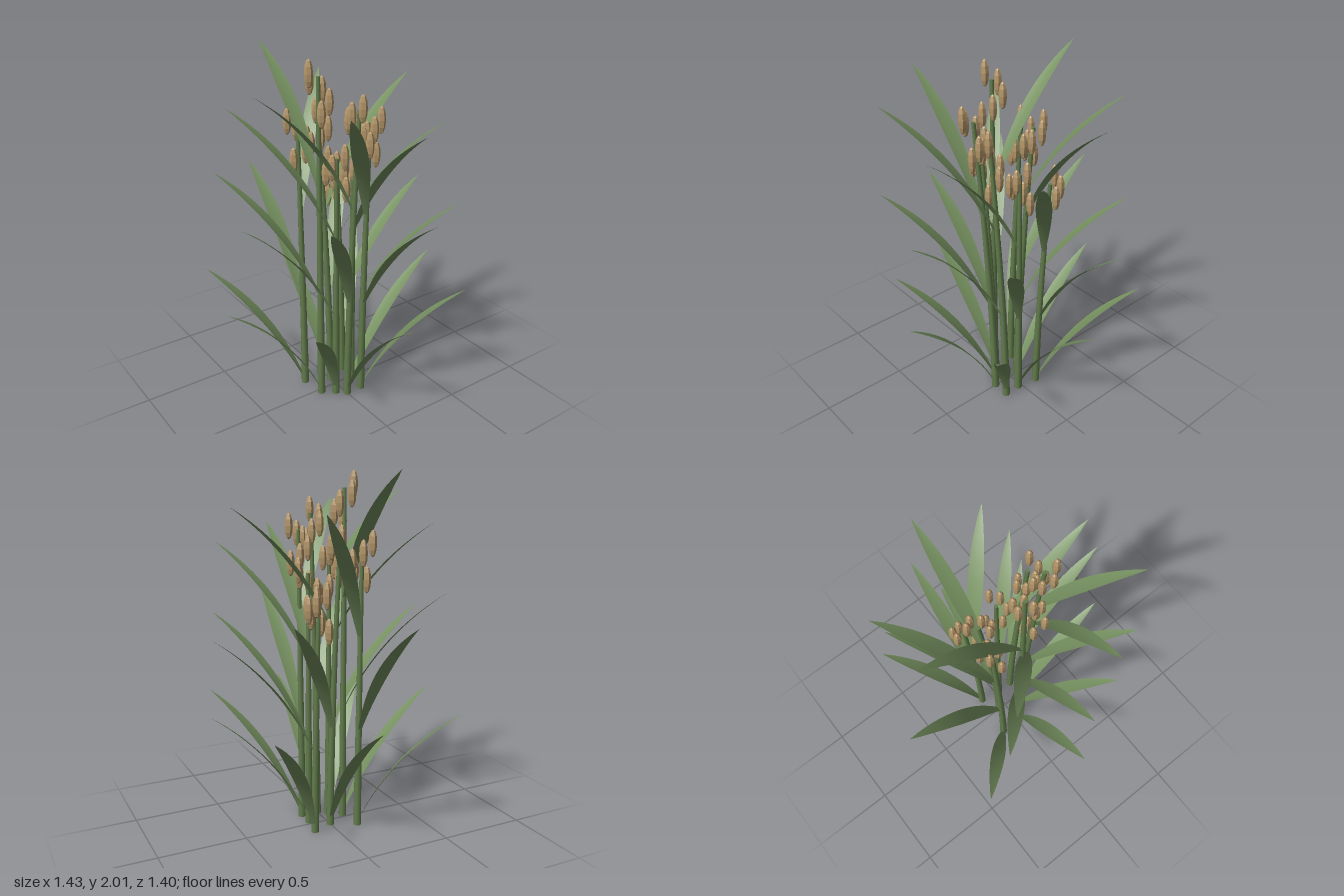
import * as THREE from 'three';

const mat = (name, color, side = THREE.FrontSide) => {
  const m = new THREE.MeshStandardMaterial({ color, side });
  m.name = name;
  return m;
};

// Sideways lean of a stalk at a level from 0 (ground) to 1 (tip)
const lean = (level) => level ** 1.5;

// Arching blade: grows along +x, lightly folded along its midrib, pointed at the tip
function bladeGeometry(reach, rise, halfWidth) {
  const curve = new THREE.QuadraticBezierCurve(
    new THREE.Vector2(0, 0),
    new THREE.Vector2(reach * 0.35, rise * 0.65),
    new THREE.Vector2(reach, rise));
  const geo = new THREE.PlaneGeometry(1, 1, 2, 14);
  const pos = geo.attributes.position;
  for (let i = 0; i < pos.count; i++) {
    const t = pos.getY(i) + 0.5;
    const p = curve.getPoint(t);
    const w = Math.max(0, Math.sin(Math.PI * (0.05 + 0.95 * t ** 1.15))) ** 0.85;
    const across = pos.getX(i) * 2;
    const fold = 0.005 * w * (1 - Math.abs(across));
    pos.setXYZ(i, p.x + fold * 0.7, p.y - fold * 0.7, across * halfWidth * w);
  }
  geo.computeVertexNormals();
  return geo;
}

// Tapered stem standing on the origin, bending sideways toward its tip
function stemGeometry(height, dx, dz) {
  const geo = new THREE.CylinderGeometry(0.011, 0.023, height, 8, 8);
  geo.translate(0, height / 2, 0);
  const pos = geo.attributes.position;
  for (let i = 0; i < pos.count; i++) {
    const bend = lean(Math.max(0, pos.getY(i) / height));
    pos.setX(i, pos.getX(i) + dx * bend);
    pos.setZ(i, pos.getZ(i) + dz * bend);
  }
  return geo;
}

export function createModel() {
  const model = new THREE.Group();
  model.name = 'grassClump';

  const leafMat = mat('leaf green', 0x75905f, THREE.DoubleSide);
  const stemMat = mat('stem green', 0x627c4c);
  const seedMat = mat('seed tan', 0xb5976a);
  seedMat.flatShading = true;

  const blade = bladeGeometry(0.58, 0.712, 0.042);
  const seed = new THREE.SphereGeometry(1, 6, 6).scale(0.023, 0.074, 0.023);

  // base x, base z, top x, top z, height, bearing of lowest leaf, seeds, angle of first seed
  const stalks = [
    [0.122, 0.0, 0.228, 0.015, 1.79, 0, 6, 20],
    [0.075, 0.05, 0.125, 0.08, 1.52, 45, 5, 348],
    [0.025, 0.12, 0.02, 0.12, 1.93, 90, 5, 90],
    [-0.122, 0.14, -0.18, 0.12, 1.63, 135, 5, 130],
    [-0.05, 0.0, -0.16, 0.0, 1.66, 180, 6, 200],
    [-0.1, -0.122, -0.17, -0.128, 1.37, 225, 6, 158],
    [0.025, -0.1, 0.022, -0.1, 1.48, 270, 6, 270],
    [0.122, -0.1, 0.2, -0.075, 1.7, 315, 6, 315],
  ];

  for (const [bx, bz, tx, tz, height, bearing, count, first] of stalks) {
    const stalk = new THREE.Group();
    stalk.name = 'stalk';
    stalk.position.set(bx, 0, bz);
    const dx = tx - bx, dz = tz - bz;

    const stem = new THREE.Mesh(stemGeometry(height - 0.02, dx, dz), stemMat);
    stem.name = 'stem';
    stalk.add(stem);

    // Three leaves, each turned an eighth of a circle from the one below
    [0.01, 0.34, 0.67].forEach((level, k) => {
      const leaf = new THREE.Mesh(blade, leafMat);
      leaf.name = 'leaf';
      leaf.position.set(dx * lean(level), height * level, dz * lean(level));
      leaf.rotation.y = -THREE.MathUtils.degToRad(bearing + 45 * k);
      stalk.add(leaf);
    });

    // Seed head: seeds spiral down around the stem tip
    for (let i = 0; i < count; i++) {
      const a = THREE.MathUtils.degToRad(first + i * 360 / count);
      const grain = new THREE.Mesh(seed, seedMat);
      grain.name = 'seed';
      grain.position.set(dx + 0.056 * Math.cos(a), height - i * 0.2 / (count - 1), dz + 0.056 * Math.sin(a));
      stalk.add(grain);
    }
    model.add(stalk);
  }
  return model;
}
